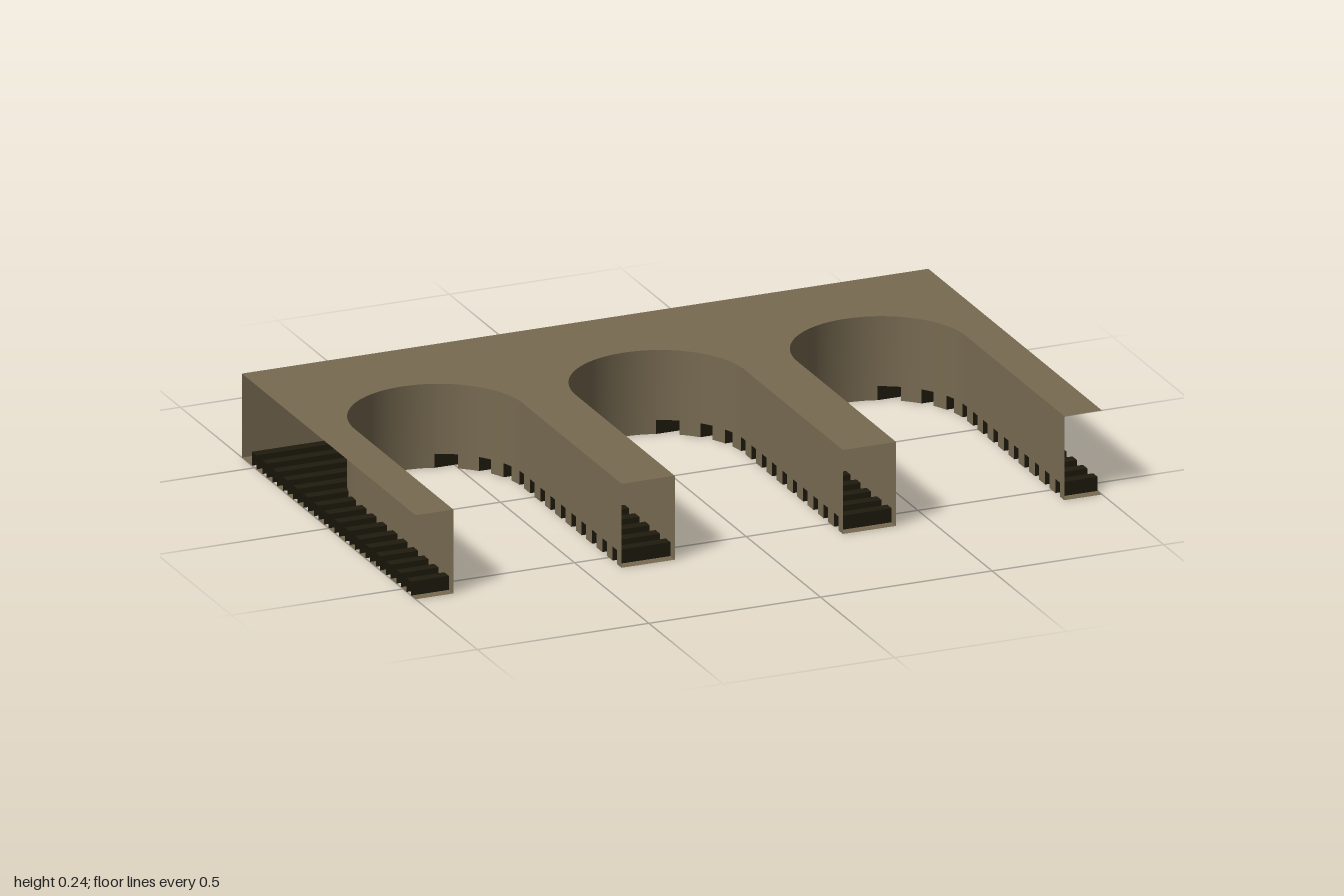
import * as THREE from 'three';
import { mergeVertices } from 'three/addons/utils/BufferGeometryUtils.js';

const H = 0.24, HX = 1, HZ = 0.585;            // height, half width, half depth
const R = 0.245, ZC = -0.08;                   // arch radius and springing line
const CENTRES = [-0.645, 0, 0.645];
const PITCH = 0.0695, GAP = 0.03, GAPS = 16, NOTCH = 0.04;

// Floor height at a depth: raised inside each groove
function floorY(z) {
  const t = (0.555 - z) / PITCH;
  return t >= 0 && t < GAPS && (t % 1) * PITCH < GAP ? NOTCH : 0;
}

// Half width of an arch opening at a depth
function halfWidth(z) {
  if (z >= ZC) return R;
  return Math.sqrt(Math.max(0, R * R - (z - ZC) ** 2));
}

// Solid x ranges between the arches at a depth
function spans(z) {
  const w = halfWidth(z);
  const xs = [-HX, ...CENTRES.flatMap((c) => [c - w, c + w]), HX];
  return [0, 2, 4, 6].map((i) => [xs[i], xs[i + 1]]);
}

// Depth stations: groove edges plus the arch curve
function stations() {
  const zs = [-HZ, HZ, ZC];
  for (let k = 0; k < GAPS; k++) zs.push(0.555 - k * PITCH, 0.555 - k * PITCH - GAP);
  for (let i = 1; i <= 24; i++) zs.push(ZC - R * Math.sin((i / 24) * Math.PI / 2));
  zs.sort((a, b) => a - b);
  return zs.filter((z, i) => i === 0 || z - zs[i - 1] > 1e-5);
}

function addQuad(out, a, b, c, d) {
  out.push(...a, ...b, ...c, ...a, ...c, ...d);
}

function quadGeometry(out, smooth) {
  let g = new THREE.BufferGeometry();
  g.setAttribute('position', new THREE.Float32BufferAttribute(out, 3));
  if (smooth) g = mergeVertices(g, 1e-5);
  g.computeVertexNormals();
  return g;
}

export function createModel() {
  const group = new THREE.Group();
  const stone = new THREE.MeshStandardMaterial({ color: 0x776a51, side: THREE.DoubleSide });
  stone.name = 'brown stone';
  const dark = new THREE.MeshStandardMaterial({ color: 0x1f1b0e, side: THREE.DoubleSide });
  dark.name = 'dark joint';
  const add = (name, geometry, material) => {
    const mesh = new THREE.Mesh(geometry, material);
    mesh.name = name;
    group.add(mesh);
    return mesh;
  };

  // Top sheet: rectangle with three round-ended bays open to the front
  const shape = new THREE.Shape();
  shape.moveTo(-HX, -HZ);
  for (const c of CENTRES) {
    shape.lineTo(c - R, -HZ);
    shape.lineTo(c - R, -ZC);
    shape.absarc(c, -ZC, R, Math.PI, 0, true);
    shape.lineTo(c + R, -HZ);
  }
  shape.lineTo(HX, -HZ);
  shape.lineTo(HX, HZ);
  shape.lineTo(-HX, HZ);
  const top = new THREE.ShapeGeometry(shape, 48);
  top.rotateX(-Math.PI / 2);
  add('topSheet', top, stone).position.y = H;

  // Back wall
  const back = new THREE.PlaneGeometry(2 * HX, H);
  back.rotateY(Math.PI);
  add('backWall', back, stone).position.set(0, H / 2, -HZ);

  const zs = stations();

  // Curved arch walls with notched lower edges
  for (const c of CENTRES) {
    const wall = [];
    for (let i = 0; i < zs.length - 1; i++) {
      const [z0, z1] = [zs[i], zs[i + 1]];
      if (z1 <= ZC - R + 1e-5) continue;
      const y = floorY((z0 + z1) / 2);
      const [w0, w1] = [halfWidth(z0), halfWidth(z1)];
      addQuad(wall, [c - w1, y, z1], [c - w0, y, z0], [c - w0, H, z0], [c - w1, H, z1]);
      addQuad(wall, [c + w0, y, z0], [c + w1, y, z1], [c + w1, H, z1], [c + w0, H, z0]);
    }
    add('archWall', quadGeometry(wall, true), stone);
  }

  // Underside: brown ribs at the base, dark grooves between them
  const ribs = [], grooves = [];
  for (let i = 0; i < zs.length - 1; i++) {
    const [z0, z1] = [zs[i], zs[i + 1]];
    const y = floorY((z0 + z1) / 2);
    const far = spans(z0), near = spans(z1);
    far.forEach(([a, b], s) => {
      const [d, e] = near[s];
      addQuad(y ? grooves : ribs, [a, y, z0], [b, y, z0], [e, y, z1], [d, y, z1]);
    });
    // Groove sides
    const yNext = i < zs.length - 2 ? floorY((z1 + zs[i + 2]) / 2) : y;
    if (yNext !== y) {
      for (const [a, b] of near) {
        if (y === 0) addQuad(grooves, [a, 0, z1], [b, 0, z1], [b, NOTCH, z1], [a, NOTCH, z1]);
        else addQuad(grooves, [b, 0, z1], [a, 0, z1], [a, NOTCH, z1], [b, NOTCH, z1]);
      }
    }
  }
  add('undersideRibs', quadGeometry(ribs), stone);
  add('undersideGrooves', quadGeometry(grooves), dark);
  return group;
}
